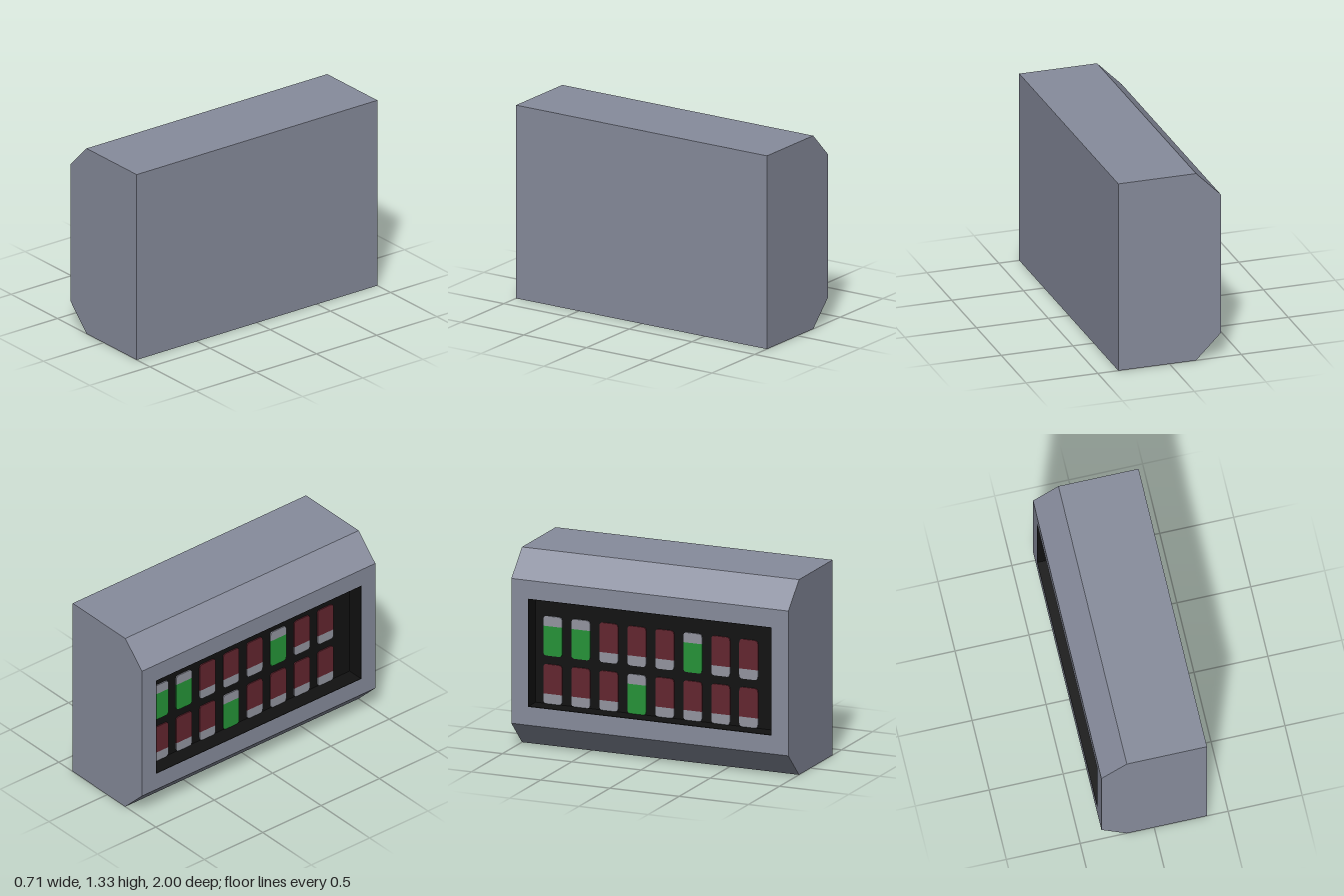
import * as THREE from 'three';

const mat = (name, color) => {
  const m = new THREE.MeshStandardMaterial({ color });
  m.name = name;
  return m;
};

export function createModel() {
  const group = new THREE.Group();
  const casing = mat('casing grey', 0x878c9c);
  const black = mat('panel black', 0x111111);
  const grey = mat('switch grey', 0x9395a0);
  const red = mat('off red', 0x63252f);
  const green = mat('on green', 0x259438);

  const add = (name, geometry, material, x = 0, y = 0, z = 0, parent = group) => {
    const mesh = new THREE.Mesh(geometry, material);
    mesh.name = name;
    mesh.position.set(x, y, z);
    parent.add(mesh);
    return mesh;
  };

  // Main dimensions: cabinet and the recess in its -x face
  const X = 0.357, H = 1.333, C = 0.172, Z = 1;
  const lo = 0.297, hi = 1.036, halfZ = 0.88, depth = 0.12;
  const backX = -X + depth;

  // Cabinet: chamfered profile, notched along the recess and solid at both ends
  const extrudeProfile = (notch, length) => {
    const points = [[X, 0], [X, H], [-X + C, H], [-X, H - C]];
    if (notch) points.push([-X, hi], [backX, hi], [backX, lo], [-X, lo]);
    points.push([-X, C], [-X + C, 0]);
    const shape = new THREE.Shape(points.map(([x, y]) => new THREE.Vector2(x, y)));
    return new THREE.ExtrudeGeometry(shape, { depth: length, bevelEnabled: false });
  };
  add('cabinetMiddle', extrudeProfile(true, 2 * halfZ), casing, 0, 0, -halfZ);
  add('cabinetBackEnd', extrudeProfile(false, Z - halfZ), casing, 0, 0, -Z);
  add('cabinetFrontEnd', extrudeProfile(false, Z - halfZ), casing, 0, 0, halfZ);

  // Black lining of the recess
  const t = 0.004, midX = -X + depth / 2, midY = (lo + hi) / 2;
  add('panelBack', new THREE.BoxGeometry(t, hi - lo, 2 * halfZ), black, backX - t / 2, midY, 0);
  for (const s of [-1, 1]) {
    add('panelSide', new THREE.BoxGeometry(depth, hi - lo, t), black, midX, midY, s * (halfZ - t / 2));
    add(s < 0 ? 'panelFloor' : 'panelCeiling', new THREE.BoxGeometry(depth, t, 2 * halfZ), black,
      midX, midY + s * ((hi - lo) / 2 - t / 2), 0);
  }

  // Thin plate facing -x, centred on its width, rounded at its outer end
  const plate = (height, up) => {
    const w = 0.067, r = 0.025;
    const s = new THREE.Shape();
    s.moveTo(-w, 0);
    s.lineTo(w, 0);
    s.lineTo(w, height - r);
    s.quadraticCurveTo(w, height, w - r, height);
    s.lineTo(-w + r, height);
    s.quadraticCurveTo(-w, height, -w, height - r);
    s.closePath();
    const g = new THREE.ExtrudeGeometry(s, { depth: 0.008, bevelEnabled: false, curveSegments: 4 });
    if (!up) g.rotateZ(Math.PI).translate(0, 0, 0);
    return g.rotateY(-Math.PI / 2);
  };

  // Two rows of switches: 1 is on (green, lever down), 0 is off (red, lever up)
  const rows = [
    { y: 0.302, states: [0, 0, 0, 1, 0, 0, 0, 0] },
    { y: 0.630, states: [1, 1, 0, 0, 0, 1, 0, 0] },
  ];
  const total = 0.27, cap = 0.068;
  for (const { y, states } of rows) {
    states.forEach((on, i) => {
      const unit = new THREE.Group();
      unit.name = 'switch';
      unit.position.set(backX - t, y + (on ? total - cap : cap), -0.75 + i * 0.202);
      add('switchCap', plate(cap, on), grey, 0, 0, 0, unit);
      add('switchIndicator', plate(total - cap, !on), on ? green : red, 0, 0, 0, unit);
      group.add(unit);
    });
  }
  return group;
}
